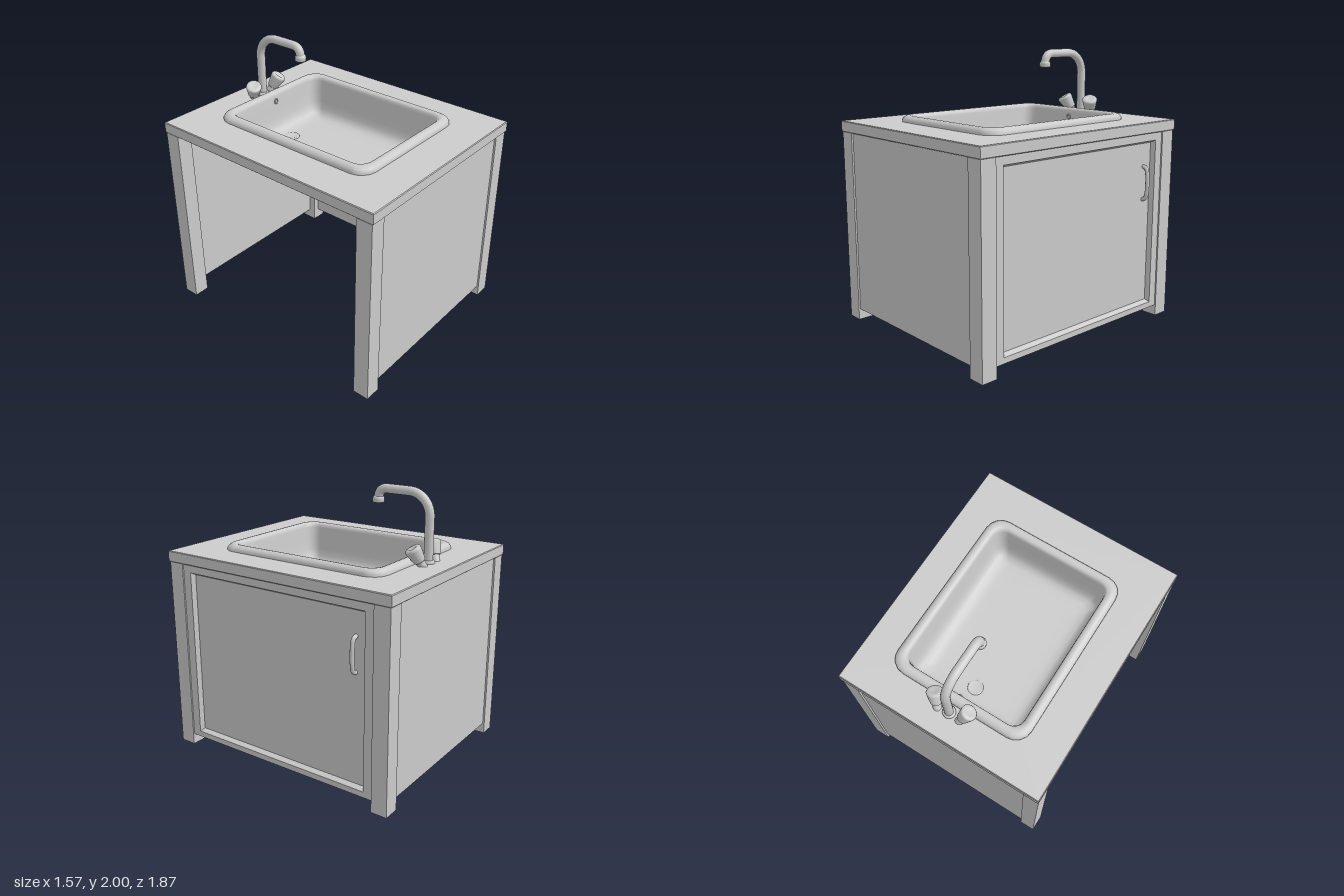
import * as THREE from 'three';

const material = new THREE.MeshStandardMaterial({ color: 0xcccccc });
const thin = new THREE.MeshStandardMaterial({ color: 0xcccccc, side: THREE.DoubleSide });
const SINK_X = 0.017, SINK_Z = -0.02, TAP_Z = -0.745, TOP = 1.5, FLOOR = 1.23;

function add(parent, name, geometry, mat = material) {
  const mesh = new THREE.Mesh(geometry, mat);
  mesh.name = name;
  parent.add(mesh);
  return mesh;
}

// Box given by its lower and upper limits on each axis
function box(parent, name, [x0, x1], [y0, y1], [z0, z1]) {
  const mesh = add(parent, name, new THREE.BoxGeometry(x1 - x0, y1 - y0, z1 - z0));
  mesh.position.set((x0 + x1) / 2, (y0 + y1) / 2, (z0 + z1) / 2);
  return mesh;
}

// Horizontal rounded rectangle; segs = 0 gives square corners
function ring({ hx, hz, r = 0, y, cx = 0, cz = 0 }, segs) {
  const points = [];
  const signs = [[1, 1], [-1, 1], [-1, -1], [1, -1]];
  signs.forEach(([sx, sz], k) => {
    for (let i = 0; i <= segs; i++) {
      const a = (k + (segs ? i / segs : 0)) * Math.PI / 2;
      const ox = segs ? r * Math.cos(a) : 0, oz = segs ? r * Math.sin(a) : 0;
      points.push([cx + sx * (hx - r) + ox, y, cz + sz * (hz - r) + oz]);
    }
  });
  return points;
}

// Skin a stack of rings, with a flat cap on the last and optionally the first
function loft(rings, segs, capStart, flat) {
  const n = 4 * (segs + 1), positions = [], index = [];
  rings.forEach((spec) => positions.push(...ring(spec, segs).flat()));
  for (let j = 0; j < rings.length - 1; j++) {
    for (let i = 0; i < n; i++) {
      const a = j * n + i, b = j * n + (i + 1) % n;
      index.push(a, a + n, b, b, a + n, b + n);
    }
  }
  const cap = (spec, start, up) => {
    const c = positions.length / 3;
    positions.push(spec.cx || 0, spec.y, spec.cz || 0);
    for (let i = 0; i < n; i++) {
      const a = start + i, b = start + (i + 1) % n;
      index.push(c, up ? b : a, up ? a : b);
    }
  };
  cap(rings[rings.length - 1], (rings.length - 1) * n, true);
  if (capStart) cap(rings[0], 0, false);
  let geometry = new THREE.BufferGeometry();
  geometry.setAttribute('position', new THREE.Float32BufferAttribute(positions, 3));
  geometry.setIndex(index);
  if (flat) geometry = geometry.toNonIndexed();
  geometry.computeVertexNormals();
  return geometry;
}

const lathe = (pts, segs = 24) =>
  new THREE.LatheGeometry(pts.map(([r, y]) => new THREE.Vector2(r, y)), segs);

function addCabinet(group) {
  for (const [side, x] of [['left', [0.655, 0.775]], ['right', [-0.785, -0.668]]]) {
    box(group, side + 'FrontLeg', x, [0, 1.42], [0.805, 0.925]);
    box(group, side + 'BackLeg', x, [0, 1.42], [-0.925, -0.805]);
  }
  box(group, 'frontPanel', [-0.668, 0.655], [0.08, 1.42], [0.86, 0.912]);
  box(group, 'backPanel', [-0.668, 0.655], [0.08, 1.42], [-0.912, -0.86]);

  // Door: square frame chamfered down to a recessed panel, turned to face +x
  const door = loft([
    { hx: 0.67, hz: 0.805, y: 0.705, cx: -0.75 },
    { hx: 0.67, hz: 0.805, y: 0.765, cx: -0.75 },
    { hx: 0.62, hz: 0.738, y: 0.765, cx: -0.742 },
    { hx: 0.602, hz: 0.724, y: 0.73, cx: -0.742 },
  ], 0, true, true);
  add(group, 'door', door.rotateZ(-Math.PI / 2));

  const bow = [[0.725, 0.93], [0.757, 0.942], [0.77, 0.99], [0.772, 1.053],
    [0.77, 1.115], [0.757, 1.163], [0.725, 1.175]];
  const curve = new THREE.CatmullRomCurve3(bow.map(([x, y]) => new THREE.Vector3(x, y, -0.65)));
  add(group, 'doorHandle', new THREE.TubeGeometry(curve, 32, 0.015, 12));
}

function addCountertop(group) {
  const rect = (Type, x0, x1, y0, y1) => new Type([[x0, y0], [x1, y0], [x1, y1], [x0, y1]]
    .map(([x, y]) => new THREE.Vector2(x, y)));
  const shape = rect(THREE.Shape, -0.787, 0.782, -0.933, 0.933);
  shape.holes.push(rect(THREE.Path, SINK_X - 0.47, SINK_X + 0.47, -SINK_Z - 0.61, -SINK_Z + 0.61));
  const geometry = new THREE.ExtrudeGeometry(shape, {
    depth: 0.07, bevelThickness: 0.005, bevelSize: 0.005, bevelOffset: -0.005, bevelSegments: 1,
  });
  add(group, 'countertop', geometry.rotateX(-Math.PI / 2)).position.y = 1.425;
}

function addSink(group) {
  // Profile from rim to floor: inset from the outer edge, height
  const profile = [[0, 1.495], [0, 1.515], [0.01, 1.532], [0.028, 1.543], [0.045, 1.545],
    [0.062, 1.541], [0.073, 1.53], [0.078, 1.51], [0.086, 1.42], [0.094, 1.34], [0.105, 1.29],
    [0.125, 1.255], [0.16, 1.237], [0.21, FLOOR], [0.3, FLOOR]];
  const rings = profile.map(([inset, y]) => ({
    hx: 0.528 - inset, hz: 0.67 - inset, r: Math.max(0.12 - inset * 0.5, 0.06),
    y, cx: SINK_X, cz: SINK_Z,
  }));
  add(group, 'basin', loft(rings, 4, false, false), thin);

  add(group, 'drain', lathe([[0.056, 0], [0.054, 0.006], [0.044, 0.007], [0.038, 0.002], [0, 0.002]]))
    .position.set(SINK_X, FLOOR, -0.45);
  const overflow = add(group, 'overflow', new THREE.TorusGeometry(0.016, 0.005, 8, 20));
  overflow.position.set(SINK_X, 1.475, -0.607);
}

function addTap(group) {
  const tap = new THREE.Group();
  tap.name = 'tap';
  tap.position.set(0.016, TOP, TAP_Z);
  group.add(tap);

  // Swan-neck pipe: rise, wide bend, straight run, tight bend down
  const v = (y, z) => new THREE.Vector3(0, y, z);
  const path = new THREE.CurvePath();
  path.add(new THREE.LineCurve3(v(0, 0), v(0.31, 0)));
  path.add(new THREE.CubicBezierCurve3(v(0.31, 0), v(0.4, 0), v(0.468, 0.07), v(0.468, 0.16)));
  path.add(new THREE.LineCurve3(v(0.468, 0.16), v(0.468, 0.33)));
  path.add(new THREE.CubicBezierCurve3(v(0.468, 0.33), v(0.468, 0.37), v(0.45, 0.397), v(0.4, 0.4)));
  add(tap, 'spoutPipe', new THREE.TubeGeometry(path, 80, 0.032, 16));
  add(tap, 'spoutBase', lathe([[0.045, 0], [0.045, 0.012], [0.04, 0.02], [0.03, 0.022]]));
  add(tap, 'nozzle', lathe([[0, 0.004], [0.03, 0.004], [0.034, 0], [0.04, 0.003], [0.041, 0.028],
    [0.037, 0.038], [0.03, 0.045]])).position.set(0, 0.368, 0.4);

  // Two knobs leaning outwards and forwards
  for (const side of [-1, 1]) {
    const knob = new THREE.Group();
    knob.name = side > 0 ? 'leftKnob' : 'rightKnob';
    knob.position.set(side * 0.09, 0, -0.008);
    const axis = new THREE.Vector3(side * 0.05, 0.13, 0.06).normalize();
    knob.quaternion.setFromUnitVectors(new THREE.Vector3(0, 1, 0), axis);
    add(knob, 'stem', new THREE.CylinderGeometry(0.03, 0.03, 0.07, 20)).position.y = 0.015;
    add(knob, 'grip', lathe([[0, 0.035], [0.036, 0.035], [0.041, 0.04], [0.056, 0.12], [0.057, 0.132],
      [0.05, 0.141], [0.03, 0.143], [0.024, 0.138], [0, 0.138]]));
    tap.add(knob);
  }
}

export function createModel() {
  const group = new THREE.Group();
  group.name = 'sinkCabinet';
  addCabinet(group);
  addCountertop(group);
  addSink(group);
  addTap(group);
  return group;
}
